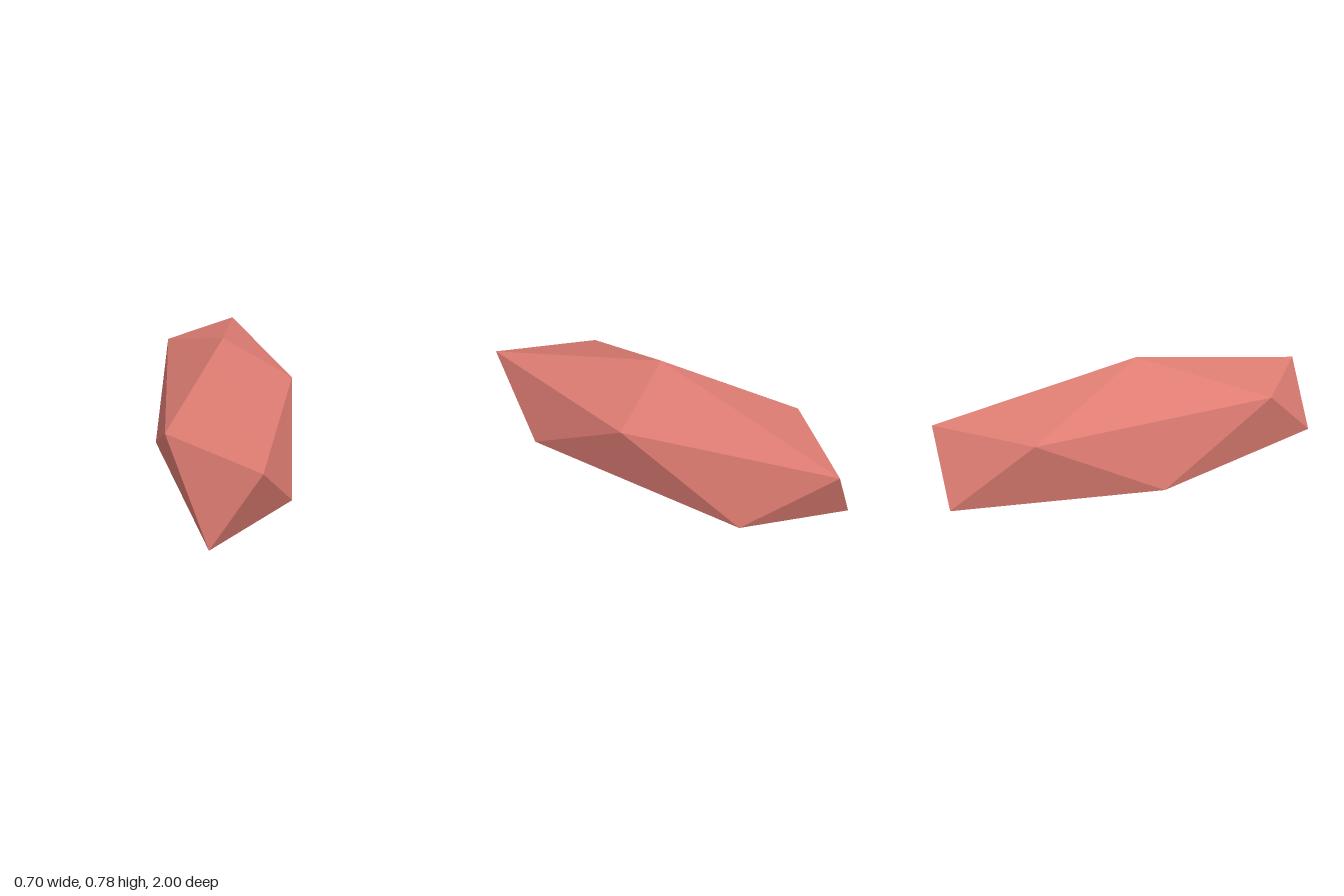
import * as THREE from 'three';

// Stretched twenty-sided stone: two staggered five-point rings capped by two tips
const SIDES = 5;
const RADIUS_X = 0.35;
const RADIUS_Z = 1 / Math.sin((2 * Math.PI) / SIDES);
const HEIGHT = 0.783;
const TIP = HEIGHT / 2;
const RING = TIP / Math.sqrt(5);

function ring(y, turn) {
  return Array.from({ length: SIDES }, (_, i) => {
    const a = ((i + turn) * 2 * Math.PI) / SIDES;
    return new THREE.Vector3(RADIUS_X * Math.cos(a), y, RADIUS_Z * Math.sin(a));
  });
}

function stoneGeometry() {
  const top = new THREE.Vector3(0, HEIGHT, 0);
  const bottom = new THREE.Vector3(0, 0, 0);
  const upper = ring(TIP + RING, 0);
  const lower = ring(TIP - RING, 0.5);
  const corners = [];
  for (let i = 0; i < SIDES; i++) {
    const j = (i + 1) % SIDES;
    corners.push(top, upper[j], upper[i]); // upper cap
    corners.push(upper[i], upper[j], lower[i]); // belt, pointing down
    corners.push(lower[i], upper[j], lower[j]); // belt, pointing up
    corners.push(bottom, lower[i], lower[j]); // lower cap
  }
  const geometry = new THREE.BufferGeometry().setFromPoints(corners);
  geometry.computeVertexNormals(); // unshared corners keep the facets flat
  return geometry;
}

export function createModel() {
  const coral = new THREE.MeshStandardMaterial({ color: 0xdd7c72, flatShading: true });
  coral.name = 'coral';

  const stone = new THREE.Mesh(stoneGeometry(), coral);
  stone.name = 'facetedStone';

  const model = new THREE.Group();
  model.name = 'stone';
  model.add(stone);
  return model;
}
